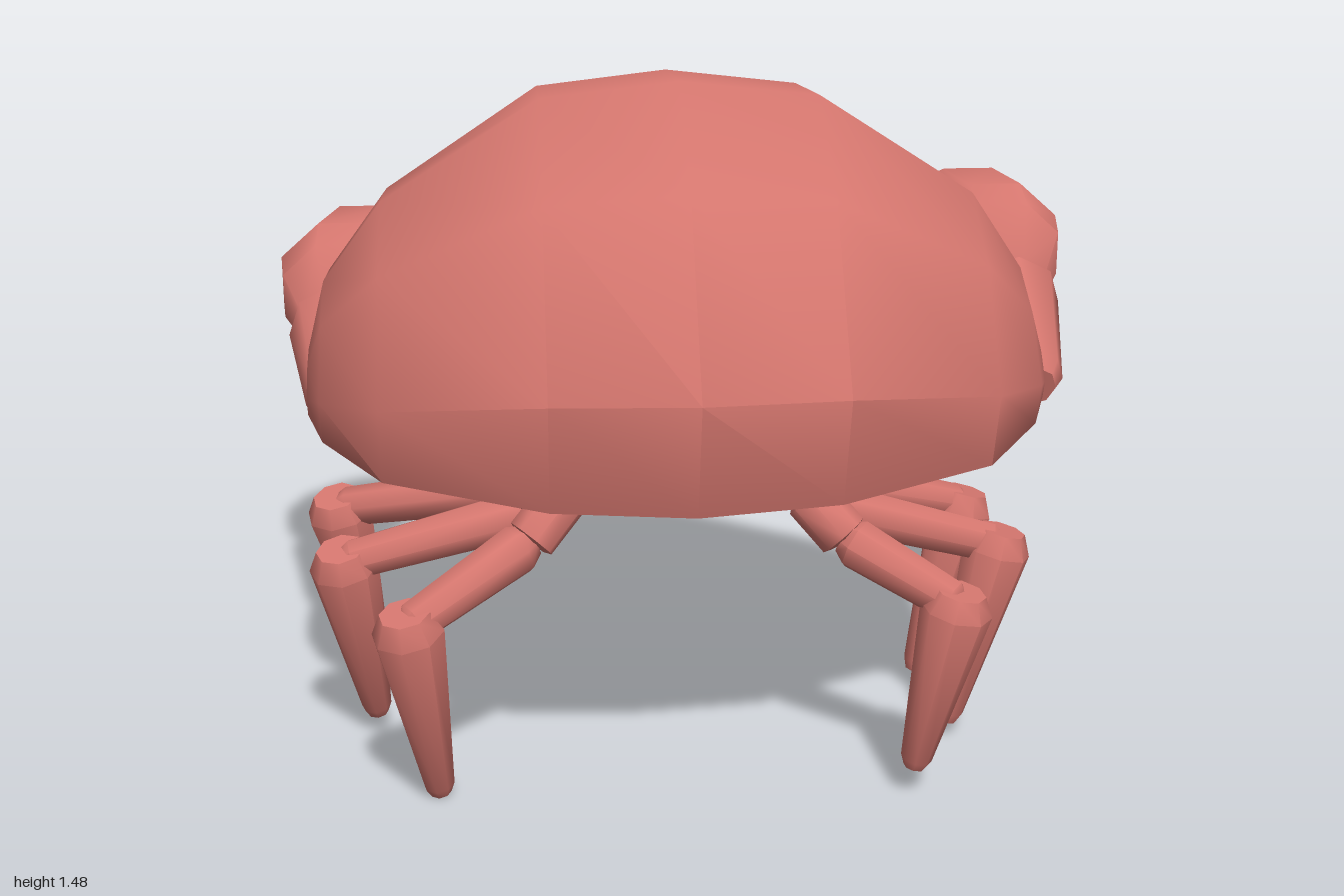
import * as THREE from 'three';
import { toCreasedNormals } from 'three/addons/utils/BufferGeometryUtils.js';

const shell = new THREE.MeshStandardMaterial({ color: 0xd4766e });

function addMesh(parent, name, geometry, crease = 0.9) {
  const mesh = new THREE.Mesh(toCreasedNormals(geometry, crease), shell);
  mesh.name = name;
  parent.add(mesh);
  return mesh;
}

// Skin a row of rings (each clockwise seen from the far end) and cap both ends.
function loft(rings) {
  const n = rings[0].length, pos = [], index = [];
  rings.forEach(r => r.forEach(p => pos.push(...p)));
  for (let i = 0; i < rings.length - 1; i++) {
    for (let j = 0; j < n; j++) {
      const a = i * n + j, b = i * n + (j + 1) % n;
      index.push(a, a + n, b, b, a + n, b + n);
    }
  }
  [rings[0], rings[rings.length - 1]].forEach((ring, end) => {
    const c = pos.length / 3, base = end ? (rings.length - 1) * n : 0;
    pos.push(...[0, 1, 2].map(k => ring.reduce((s, p) => s + p[k], 0) / n));
    for (let j = 0; j < n; j++) {
      const a = base + j, b = base + (j + 1) % n;
      index.push(c, end ? b : a, end ? a : b);
    }
  });
  const g = new THREE.BufferGeometry();
  g.setAttribute('position', new THREE.Float32BufferAttribute(pos, 3));
  g.setIndex(index);
  return g;
}

// Tapered limb segment with bevelled ends, running from a to b.
function limb(parent, name, a, b, r1, r2, sides = 8) {
  const from = new THREE.Vector3(...a), dir = new THREE.Vector3(...b).sub(from);
  const len = dir.length();
  const profile = [[0, 0], [r1 * 0.7, 0], [r1, 0.1], [r2, 0.95], [r2 * 0.7, 1], [0, 1]]
    .map(([r, t]) => new THREE.Vector2(r, t * len));
  const mesh = addMesh(parent, name, new THREE.LatheGeometry(profile, sides));
  mesh.position.copy(from);
  mesh.quaternion.setFromUnitVectors(new THREE.Vector3(0, 1, 0), dir.normalize());
}

// Body shell: one side profile (z, y) fitted to a box at each station in x.
function bodyGeometry() {
  const profile = [[0.35, 1.48], [-0.03, 1.46], [-0.15, 1.18], [-0.21, 0.97], [-0.26, 0.8],
    [-0.07, 0.57], [0.3, 0.6], [0.77, 0.68], [0.85, 0.93], [0.61, 1.29]];
  // offset from centre, back z, front z, bottom y, top y
  const half = [[0, -0.26, 0.85, 0.57, 1.48], [0.29, -0.21, 0.83, 0.59, 1.45],
    [0.62, -0.03, 0.67, 0.65, 1.24], [0.75, 0.02, 0.5, 0.72, 1.06],
    [0.785, 0.2, 0.4, 0.78, 0.92]];
  const stations = [...half.slice(1).reverse().map(([x, ...r]) => [-x, ...r]), ...half];
  return loft(stations.map(([x, z0, z1, y0, y1]) => profile.map(([z, y]) => [
    x - 0.05,
    y0 + (y1 - y0) * (y - 0.57) / 0.91,
    z0 + (z1 - z0) * (z + 0.26) / 1.11
  ])));
}

// Pincer half: rows of z, inner x, outer x, bottom y, top y.
function pincer(rows, side, drop, reach) {
  return loft(rows.map(([z, x0, x1, y0, y1]) => Array.from({ length: 8 }, (_, i) => {
    const t = i * Math.PI / 4 + Math.PI / 8, k = 1.06;
    return [
      side * (x0 + x1) / 2 - k * (x1 - x0) / 2 * Math.sin(t),
      (y0 + y1) / 2 + k * (y1 - y0) / 2 * Math.cos(t) - drop,
      z - reach
    ];
  })));
}

const upperRows = [
  [-0.26, 0.72, 0.91, 0.81, 0.95], [-0.36, 0.68, 0.97, 0.82, 1.08],
  [-0.43, 0.65, 0.98, 0.83, 1.12], [-0.55, 0.62, 0.93, 0.88, 1.14],
  [-0.7, 0.56, 0.83, 0.9, 1.07], [-0.78, 0.56, 0.74, 0.86, 0.98],
  [-0.81, 0.6, 0.69, 0.85, 0.91]
];
const lowerRows = [
  [-0.28, 0.74, 0.89, 0.8, 0.88], [-0.38, 0.7, 0.93, 0.73, 0.85],
  [-0.5, 0.66, 0.88, 0.71, 0.83], [-0.6, 0.62, 0.8, 0.72, 0.81],
  [-0.7, 0.6, 0.7, 0.77, 0.8]
];

// The right claw hangs slightly lower and further out than the left.
function claw(name, side, drop, reach) {
  const g = new THREE.Group();
  g.name = name;
  const elbow = [side * 0.8, 0.73 - drop * 0.2, 0.08];
  const wrist = [side * 0.83, 0.865 - drop * 0.7, -0.29 - reach];
  limb(g, 'upperArm', [side * 0.6, 0.77, 0.12], elbow, 0.05, 0.06);
  limb(g, 'forearm', elbow, wrist, 0.075, 0.12);
  addMesh(g, 'upperPincer', pincer(upperRows, side, drop, reach));
  addMesh(g, 'lowerPincer', pincer(lowerRows, side, drop, reach));
  return g;
}

function leg(name, hip, bend, knee, foot) {
  const g = new THREE.Group();
  g.name = name;
  limb(g, 'hip', hip, bend, 0.055, 0.055);
  limb(g, 'thigh', bend, knee, 0.055, 0.045);
  // shin starts just above the knee joint
  const top = knee.map((k, i) => k + (k - foot[i]) * 0.08);
  limb(g, 'shin', top, foot, 0.075, 0.033);
  return g;
}

export function createModel() {
  const model = new THREE.Group();
  model.name = 'crab';

  addMesh(model, 'body', bodyGeometry());
  model.add(claw('leftClaw', 1, 0, 0), claw('rightClaw', -1, 0.08, 0.04));

  // name, side, hip z, knee, foot
  const legs = [
    ['leftFrontLeg', 1, 0.52, [0.49, 0.45, 0.7], [0.42, 0.07, 0.66]],
    ['leftMiddleLeg', 1, 0.35, [0.65, 0.46, 0.39], [0.55, 0.04, 0.385]],
    ['leftBackLeg', 1, 0.2, [0.63, 0.46, 0.12], [0.53, 0.05, 0.13]],
    ['rightFrontLeg', -1, 0.48, [-0.63, 0.43, 0.67], [-0.58, 0.01, 0.57]],
    ['rightMiddleLeg', -1, 0.33, [-0.78, 0.46, 0.37], [-0.73, 0.05, 0.25]],
    ['rightBackLeg', -1, 0.18, [-0.81, 0.49, 0.1], [-0.75, 0.12, -0.01]]
  ];
  for (const [name, side, z, knee, foot] of legs) {
    const x = side * 0.25 - 0.05;
    const bend = [x + side * 0.08, 0.55, z + (knee[2] - z) * 0.2];
    model.add(leg(name, [x, 0.64, z], bend, knee, foot));
  }
  return model;
}
